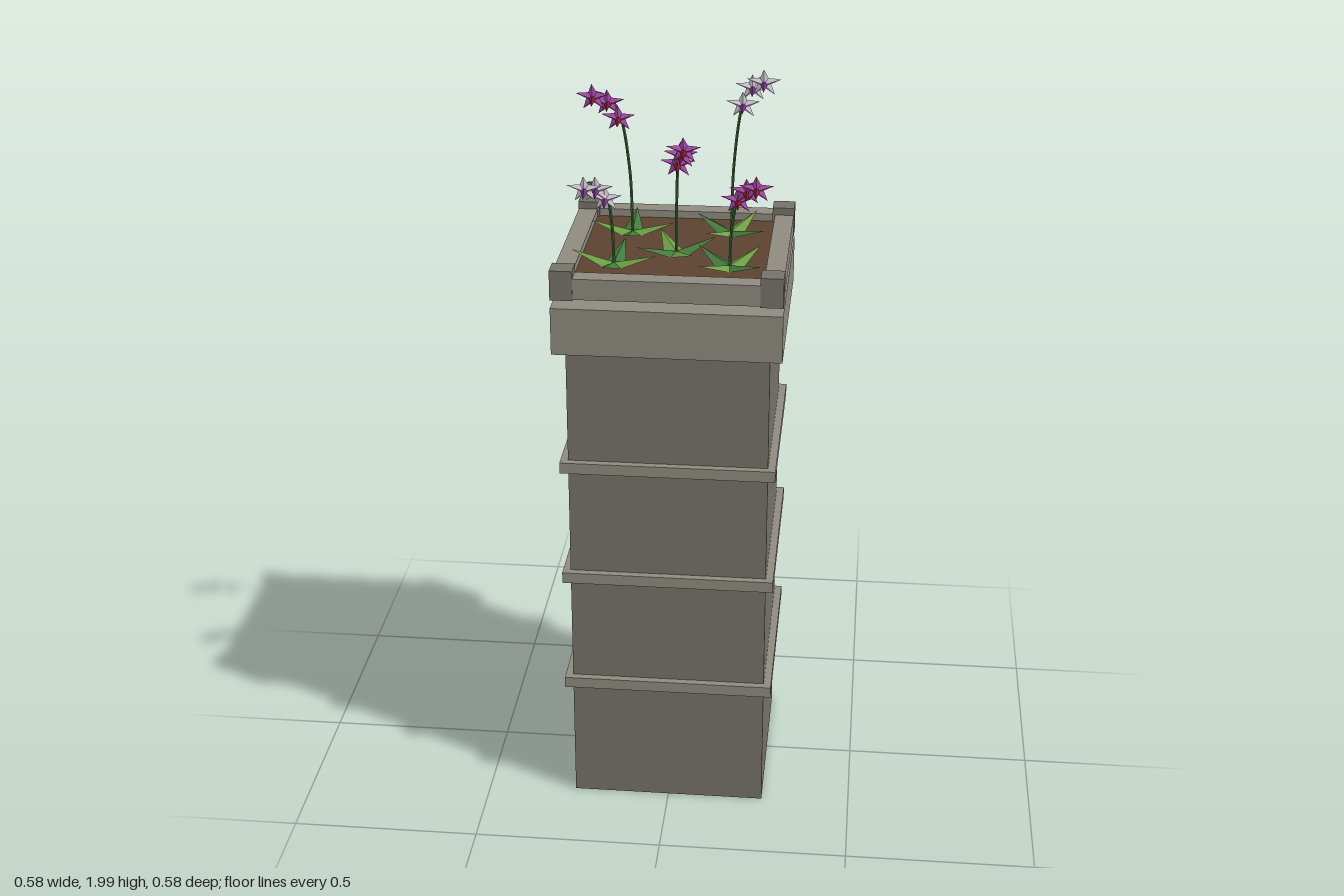
import * as THREE from 'three';

const mat = (color, side = THREE.FrontSide) =>
  new THREE.MeshStandardMaterial({ color, side, flatShading: true });

const stone = mat(0x76726a);
const paleStone = mat(0x8f8b80);
const soil = mat(0x5c4230);
const leafLight = mat(0x6f9f45, THREE.DoubleSide);
const leafDark = mat(0x437a3c, THREE.DoubleSide);
const stemGreen = mat(0x3d6b38);
const magenta = mat(0xbb52bb, THREE.DoubleSide);
const white = mat(0xeadfee, THREE.DoubleSide);
const redLip = mat(0x8b1a2b);
const purpleLip = mat(0x7a2f8a);

function add(parent, name, geometry, material, x = 0, y = 0, z = 0) {
  const mesh = new THREE.Mesh(geometry, material);
  mesh.name = name;
  mesh.position.set(x, y, z);
  parent.add(mesh);
  return mesh;
}

// Square slab centred on the y axis between two heights
function slab(parent, name, half, y0, y1, material) {
  add(parent, name, new THREE.BoxGeometry(half * 2, y1 - y0, half * 2), material, 0, (y0 + y1) / 2, 0);
}

// Folded pointed blades around +y: two triangles per blade meeting at a ridge
function blades(angles, spread, inner, outer, centreY, tipY) {
  const at = (a, r, y) => [Math.cos(a) * r, y, -Math.sin(a) * r];
  const p = [];
  for (const a of angles) {
    const c = [0, centreY, 0], tip = at(a, outer, tipY);
    p.push(...c, ...at(a - spread, inner, 0), ...tip);
    p.push(...c, ...tip, ...at(a + spread, inner, 0));
  }
  const g = new THREE.BufferGeometry();
  g.setAttribute('position', new THREE.Float32BufferAttribute(p, 3));
  g.computeVertexNormals();
  return g;
}

const H = Math.PI / 2;
const leafPairA = blades([0, Math.PI], Math.PI / 4, 0.036, 0.113, 0.006, 0.032);
const leafPairB = blades([H, -H], Math.PI / 4, 0.036, 0.113, 0.006, 0.032);
const petals = blades([0, 1, 2, 3, 4].map(i => H + i * Math.PI * 0.4), Math.PI / 5, 0.018, 0.046, 0.01, 0.004);
const lip = new THREE.ConeGeometry(0.01, 0.034, 4).translate(0, 0.022, 0);
const calyx = new THREE.ConeGeometry(0.016, 0.02, 5).rotateX(Math.PI).translate(0, -0.009, 0);

function flower(isWhite) {
  const g = new THREE.Group();
  g.name = 'flower';
  add(g, 'petals', petals, isWhite ? white : magenta);
  add(g, 'calyx', calyx, isWhite ? white : magenta);
  add(g, 'lip', lip, isWhite ? purpleLip : redLip);
  g.rotation.x = H + 0.45; // faces forward and nods downward
  return g;
}

const SOIL_Y = 1.52;

// A plant: four leaves, an arching stem and three flowers along its end
function plant([x, z, turn, isWhite, blooms]) {
  const g = new THREE.Group();
  g.name = 'floweringPlant';
  for (const [name, geo, m] of [['lightLeaves', leafPairA, leafLight], ['darkLeaves', leafPairB, leafDark]])
    add(g, name, geo, m, x, SOIL_Y, z).rotation.y = THREE.MathUtils.degToRad(turn);

  const pts = blooms.map(b => new THREE.Vector3(...b));
  const first = pts[0];
  const path = new THREE.CatmullRomCurve3([
    new THREE.Vector3(x, SOIL_Y, z),
    new THREE.Vector3(x + (first.x - x) * 0.2, SOIL_Y + (first.y - SOIL_Y) * 0.55, z + (first.z - z) * 0.2),
    ...pts.map(p => p.clone().add(new THREE.Vector3(0, 0.008, -0.016))),
  ]);
  add(g, 'stem', new THREE.TubeGeometry(path, 16, 0.004, 5), stemGreen);
  for (const p of pts) {
    const f = flower(isWhite);
    f.position.copy(p);
    g.add(f);
  }
  return g;
}

export function createModel() {
  const model = new THREE.Group();
  model.name = 'planterColumn';

  // Pillar with three bands and a capital
  slab(model, 'pillar', 0.26, 0, 1.335, stone);
  for (const y of [0.36, 0.685, 1.01]) slab(model, 'band', 0.28, y - 0.015, y + 0.015, paleStone);
  slab(model, 'capital', 0.292, 1.335, 1.46, paleStone);

  // Planter tray: soil, four rails and four corner posts
  slab(model, 'soil', 0.242, 1.487, SOIL_Y, soil);
  for (let i = 0; i < 4; i++) {
    const side = new THREE.Group();
    side.name = 'traySide';
    add(side, 'rail', new THREE.BoxGeometry(0.47, 0.055, 0.05), paleStone, 0, 1.5125, 0.2655);
    add(side, 'cornerPost', new THREE.BoxGeometry(0.058, 0.078, 0.058), stone, 0.263, 1.521, 0.263);
    side.rotation.y = i * H;
    model.add(side);
  }

  // Plants: x, z, leaf turn in degrees, white or magenta, flower positions
  const plants = [
    [-0.13, -0.115, 0, false, [[-0.16, 1.845, -0.08], [-0.185, 1.89, -0.065], [-0.22, 1.91, -0.04]]],
    [0.13, -0.135, 57, true, [[0.16, 1.885, -0.095], [0.185, 1.935, -0.08], [0.215, 1.955, -0.055]]],
    [0, 0.03, 117, false, [[0.008, 1.775, 0.068], [0.018, 1.805, 0.088], [0.027, 1.825, 0.112]]],
    [-0.15, 0.125, -8, true, [[-0.165, 1.71, 0.162], [-0.185, 1.74, 0.182], [-0.21, 1.748, 0.208]]],
    [0.145, 0.12, 49, false, [[0.168, 1.715, 0.158], [0.19, 1.745, 0.178], [0.215, 1.76, 0.202]]],
  ];
  for (const p of plants) model.add(plant(p));
  return model;
}
